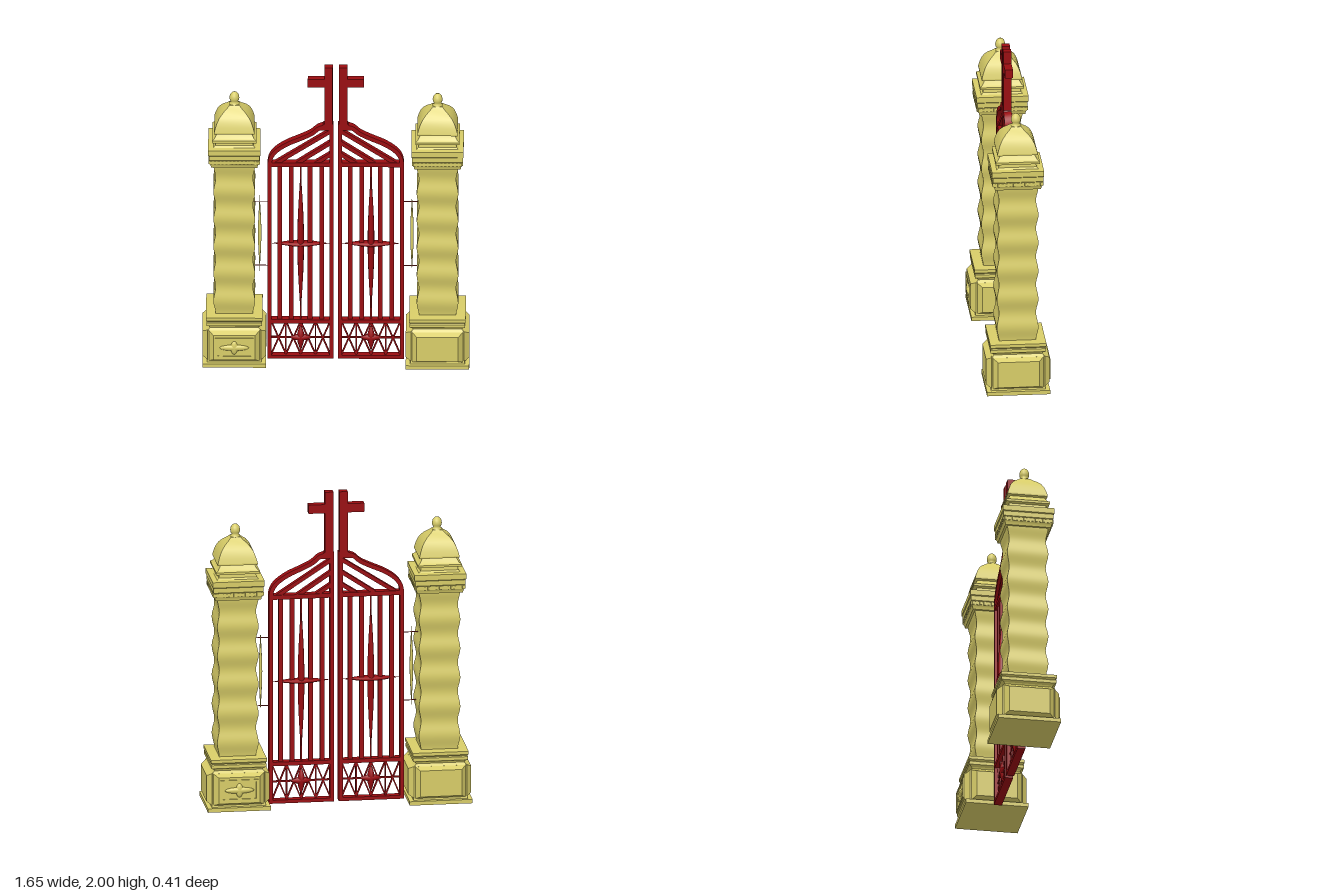
import * as THREE from 'three';
import { toCreasedNormals } from 'three/addons/utils/BufferGeometryUtils.js';

const stone = new THREE.MeshStandardMaterial({ color: 0xd8cd68 });
const iron = new THREE.MeshStandardMaterial({ color: 0x990c10 });
const V2 = (x, y) => new THREE.Vector2(x, y);

function add(parent, name, geo, mat, x = 0, y = 0, z = 0) {
  const m = new THREE.Mesh(geo, mat);
  m.name = name;
  m.position.set(x, y, z);
  parent.add(m);
  return m;
}

// Square-plan loft from [halfWidth, y] pairs
function squareLoft(profile) {
  const pts = profile.map(([w, y]) => V2(w * Math.SQRT2, y));
  return toCreasedNormals(new THREE.LatheGeometry(pts, 4, Math.PI / 4), 0.5);
}

// Straight bar between two points in the xy plane
function bar(parent, name, x1, y1, x2, y2, width, depth) {
  const len = Math.hypot(x2 - x1, y2 - y1);
  const m = add(parent, name, new THREE.BoxGeometry(width, len, depth), iron, (x1 + x2) / 2, (y1 + y2) / 2);
  m.rotation.z = Math.atan2(y2 - y1, x2 - x1) - Math.PI / 2;
  return m;
}

// Pointed spindle along y, with separate half-thicknesses in x and z
function spindle(half, rx, rz, segments = 12) {
  const pts = [];
  for (let i = 0; i <= 16; i++) {
    const t = -1 + i / 8;
    pts.push(V2(Math.max(0.0001, Math.pow(Math.cos(t * Math.PI / 2), 1.3)), t * half));
  }
  return new THREE.LatheGeometry(pts, segments).scale(rx, 1, rz);
}

function createPillar() {
  const g = new THREE.Group();

  add(g, 'plinth', squareLoft([
    [0, 0.01], [0.197, 0.01], [0.197, 0.035], [0.17, 0.035], [0.165, 0.06], [0.165, 0.25], [0.15, 0.265],
    [0.155, 0.275], [0.172, 0.285], [0.172, 0.305], [0.165, 0.31], [0.175, 0.32], [0.175, 0.34], [0.11, 0.345]]), stone);

  // Bevelled raised panel on each side of the plinth
  const panel = new THREE.BoxGeometry(0.33, 0.215, 0.04);
  const p = panel.attributes.position;
  for (let i = 0; i < p.count; i++) {
    if (p.getZ(i) > 0) p.setXY(i, p.getX(i) * 0.78, p.getY(i) * 0.78);
  }
  panel.computeVertexNormals();
  for (let i = 0; i < 4; i++) {
    const side = new THREE.Group();
    side.rotation.y = i * Math.PI / 2;
    add(side, 'plinthPanel', panel, stone, 0, 0.147, 0.177);
    g.add(side);
  }

  // Framed four-petal ornament
  const frame = new THREE.Shape([V2(-0.12, -0.068), V2(0.12, -0.068), V2(0.12, 0.068), V2(-0.12, 0.068)]);
  frame.holes.push(new THREE.Path([V2(-0.105, -0.055), V2(-0.105, 0.055), V2(0.105, 0.055), V2(0.105, -0.055)]));
  add(g, 'ornamentFrame', new THREE.ExtrudeGeometry(frame, { depth: 0.008, bevelEnabled: false }), stone, 0, 0.147, 0.196);
  for (const [rx, ry] of [[0.092, 0.02], [0.022, 0.045], [0.03, 0.028]]) {
    add(g, 'ornamentPetal', new THREE.SphereGeometry(1, 16, 10), stone, 0, 0.147, 0.197).scale.set(rx, ry, 0.016);
  }

  // Rippled shaft
  const shaft = [];
  for (let i = 0; i <= 66; i++) {
    const t = i / 66;
    shaft.push([0.122 + 0.007 * Math.cos(t * 5.5 * Math.PI * 2 + Math.PI), 0.34 + t * 1.03]);
  }
  add(g, 'shaft', squareLoft(shaft), stone);

  add(g, 'capital', squareLoft([
    [0.11, 1.36], [0.143, 1.36], [0.147, 1.378], [0.152, 1.385], [0.152, 1.41], [0.157, 1.415], [0.157, 1.445],
    [0.162, 1.45], [0.162, 1.485], [0.13, 1.49], [0.118, 1.5], [0.115, 1.52], [0.137, 1.525], [0.137, 1.54],
    [0.122, 1.55], [0.108, 1.575], [0.125, 1.58], [0.125, 1.59]]), stone);
  const dentil = new THREE.BoxGeometry(0.013, 0.022, 0.012);
  for (let s = 0; s < 4; s++) {
    const row = new THREE.Group();
    row.rotation.y = s * Math.PI / 2;
    for (let i = -6; i <= 6; i++) add(row, 'dentil', dentil, stone, i * 0.024, 1.398, 0.153);
    g.add(row);
  }

  add(g, 'roof', squareLoft([
    [0.125, 1.59], [0.117, 1.62], [0.106, 1.65], [0.092, 1.675], [0.07, 1.7], [0.045, 1.72], [0.03, 1.735], [0, 1.737]]), stone);

  const finial = [[0.03, 1.73], [0.032, 1.74], [0.02, 1.748], [0.028, 1.76], [0.031, 1.775], [0.027, 1.795], [0.015, 1.81], [0, 1.815]];
  add(g, 'finial', new THREE.LatheGeometry(finial.map(a => V2(...a)), 20), stone);
  return g;
}

// One gate leaf, hinge side towards +x, symmetric in z
function createLeaf() {
  const g = new THREE.Group();
  const D = 0.05;

  bar(g, 'innerStile', 0.027, 0, 0.027, 1.61, 0.025, D);
  bar(g, 'outerStile', 0.41, 0, 0.41, 1.35, 0.025, D);
  for (const [y, h] of [[0.011, 0.022], [0.255, 0.025], [1.332, 0.028]]) {
    bar(g, 'rail', 0.015, y, 0.422, y, h, D);
  }

  // Ogee top rail
  const curve = new THREE.SplineCurve([
    V2(0.41, 1.34), V2(0.4, 1.385), V2(0.365, 1.43), V2(0.3, 1.474), V2(0.22, 1.51), V2(0.15, 1.545), V2(0.1, 1.585), V2(0.04, 1.597)]);
  const outer = [], inner = [];
  for (let i = 0; i <= 32; i++) {
    const c = curve.getPoint(i / 32), t = curve.getTangent(i / 32);
    outer.push(V2(c.x + t.y * 0.013, c.y - t.x * 0.013));
    inner.unshift(V2(c.x - t.y * 0.013, c.y + t.x * 0.013));
  }
  const arch = new THREE.ExtrudeGeometry(new THREE.Shape([...outer, ...inner]), { depth: D, bevelEnabled: false });
  add(g, 'archRail', toCreasedNormals(arch, 0.5), iron, 0, 0, -D / 2);

  // Slanted bars below the arch
  for (const [y, x] of [[1.56, 0.375], [1.48, 0.245], [1.4, 0.13]]) {
    bar(g, 'archBar', 0.03, y, x, 1.335, 0.024, 0.036);
  }

  // Upright bars, central spindle and cross spindle
  for (const x of [0.088, 0.16, 0.276, 0.347]) bar(g, 'uprightBar', x, 0.25, x, 1.335, 0.028, 0.03);
  bar(g, 'spindleCore', 0.218, 0.25, 0.218, 1.335, 0.01, 0.01);
  add(g, 'uprightSpindle', spindle(0.53, 0.021, 0.035), iron, 0.218, 0.79);
  const cross = add(g, 'crossSpindle', spindle(0.185, 0.016, 0.039), iron, 0.218, 0.782);
  cross.rotation.z = Math.PI / 2;

  // Lattice in the lower panel
  const xs = [0.035, 0.126, 0.218, 0.309, 0.4], y0 = 0.02, y1 = 0.245, ym = 0.137;
  for (let i = 0; i < 4; i++) {
    bar(g, 'latticeDiagonal', xs[i], y0, xs[i + 1], y1, 0.009, 0.012);
    bar(g, 'latticeDiagonal', xs[i], y1, xs[i + 1], y0, 0.009, 0.012);
  }
  for (const x of xs.slice(1, 4)) bar(g, 'latticeUpright', x, y0, x, y1, 0.009, 0.014);
  bar(g, 'latticeCrossbar', xs[0], ym, xs[4], ym, 0.009, 0.014);
  add(g, 'starUpright', spindle(0.1, 0.023, 0.025, 8), iron, 0.218, ym);
  add(g, 'starCrossbar', spindle(0.085, 0.023, 0.025, 8), iron, 0.218, ym).rotation.z = Math.PI / 2;

  // Half of the crowning cross
  const foot = new THREE.Shape([V2(0.015, 1.57), V2(0.11, 1.57), V2(0.075, 1.61), V2(0.015, 1.61)]);
  add(g, 'crossFoot', new THREE.ExtrudeGeometry(foot, { depth: D, bevelEnabled: false }), iron, 0, 0, -D / 2);
  bar(g, 'crossPost', 0.045, 1.6, 0.045, 2, 0.052, D);
  bar(g, 'crossArm', 0.07, 1.893, 0.174, 1.893, 0.056, D);

  // Hinge rod and pins
  add(g, 'hingeRod', spindle(0.272, 0.011, 0.011, 10), stone, 0.472, 0.853);
  for (const y of [0.63, 1.07]) {
    add(g, 'hingePin', new THREE.CylinderGeometry(0.003, 0.003, 0.1, 8), iron, 0.465, y).rotation.z = Math.PI / 2;
  }
  return g;
}

export function createModel() {
  const model = new THREE.Group();
  model.name = 'gateway';
  const parts = [
    ['rightPillar', createPillar(), -0.632, -0.013, 0],
    ['leftPillar', createPillar(), 0.628, 0.005, Math.PI],
    ['leftLeaf', createLeaf(), -0.003, 0.006, 0],
    ['rightLeaf', createLeaf(), -0.003, 0.006, Math.PI],
  ];
  for (const [name, part, x, z, turn] of parts) {
    part.name = name;
    part.position.set(x, 0, z);
    part.rotation.y = turn;
    model.add(part);
  }
  return model;
}
